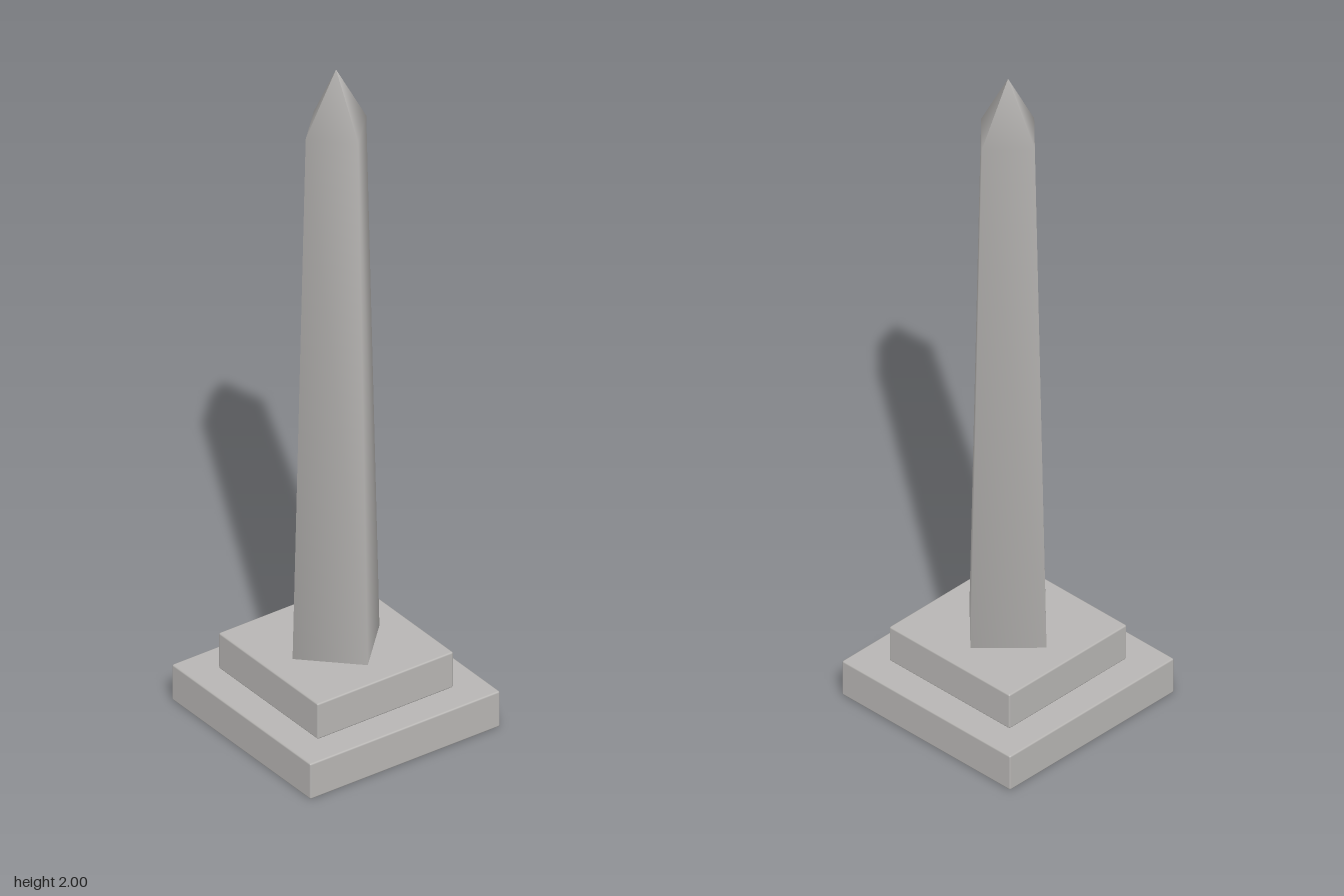
import * as THREE from 'three';
import { RoundedBoxGeometry } from 'three/addons/geometries/RoundedBoxGeometry.js';

export function createModel() {
  const group = new THREE.Group();
  const stone = new THREE.MeshStandardMaterial({ color: 0xb8b6b4 });
  stone.name = 'stone';

  // Square plinth steps with finely bevelled edges
  const addStep = (name, width, bottom, top) => {
    const step = new THREE.Mesh(new RoundedBoxGeometry(width, top - bottom, width, 1, 0.005), stone);
    step.position.y = (bottom + top) / 2;
    step.name = name;
    group.add(step);
  };
  addStep('lowerStep', 0.62, 0, 0.11);
  addStep('upperStep', 0.444, 0.11, 0.22);

  // Tapered four-sided shaft with its pointed cap, smooth-shaded as one surface
  const profile = [[0, 0.22], [0.142, 0.22], [0.099, 1.82], [0, 2]]
    .map(([r, y]) => new THREE.Vector2(r, y));
  const shaft = new THREE.Mesh(new THREE.LatheGeometry(profile, 4), stone);
  shaft.name = 'shaftAndPointedCap';
  group.add(shaft);

  return group;
}
